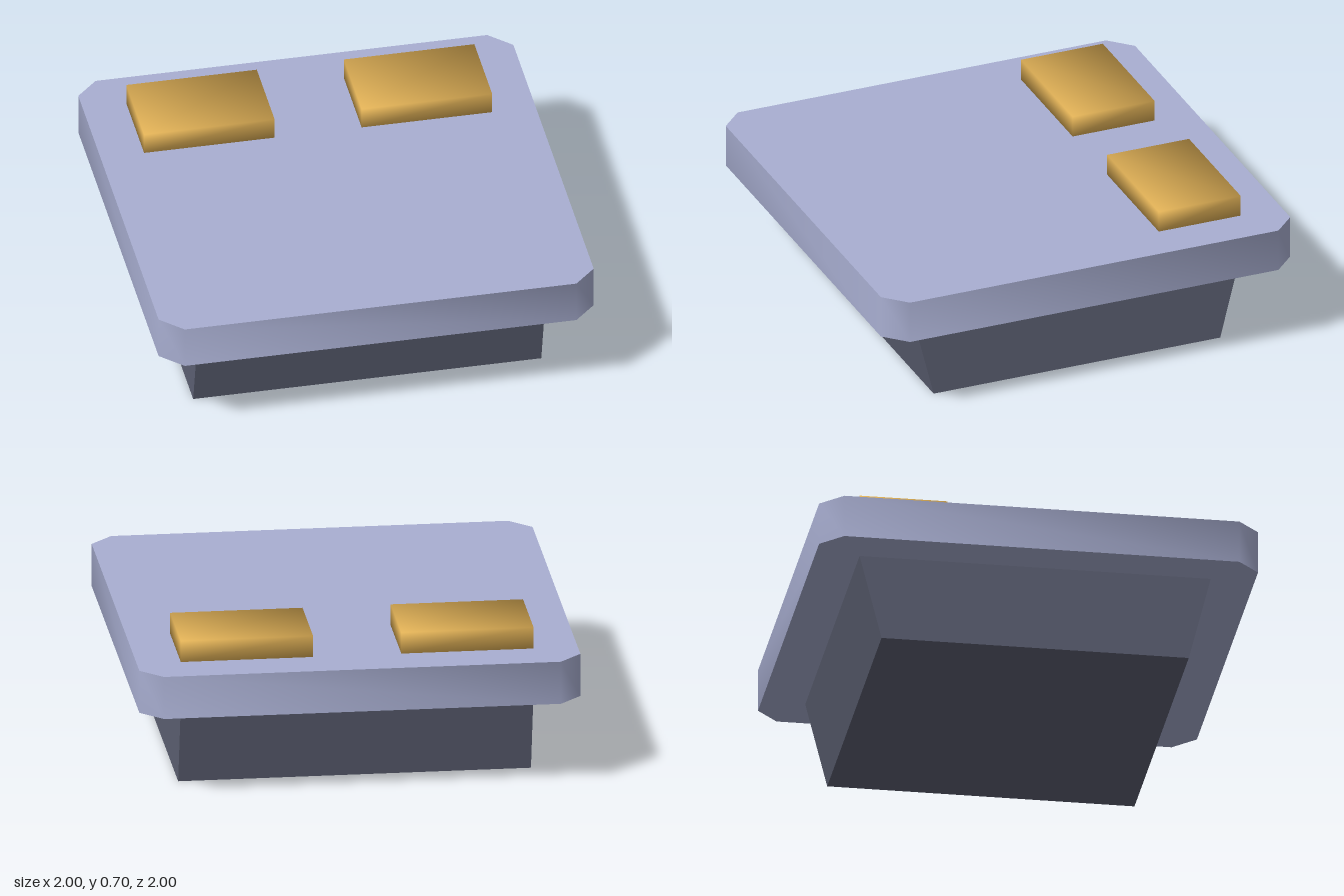
import * as THREE from 'three';
import { toCreasedNormals } from 'three/addons/utils/BufferGeometryUtils.js';

export function createModel() {
  const model = new THREE.Group();
  const slabBlue = new THREE.MeshStandardMaterial({ name: 'pale blue', color: 0xa9afd2 });
  const baseGrey = new THREE.MeshStandardMaterial({ name: 'slate grey', color: 0x5f6376 });
  const gold = new THREE.MeshStandardMaterial({ name: 'gold', color: 0xe2b257 });

  const add = (name, geometry, material, x, y, z) => {
    const mesh = new THREE.Mesh(geometry, material);
    mesh.name = name;
    mesh.position.set(x, y, z);
    model.add(mesh);
  };

  // Base block: front and back faces lean inward towards the floor
  const base = new THREE.BoxGeometry(1.6, 0.4, 1.6);
  const bp = base.attributes.position;
  for (let i = 0; i < bp.count; i++) {
    if (bp.getY(i) < 0) bp.setZ(i, Math.sign(bp.getZ(i)) * 0.7);
  }
  base.computeVertexNormals();
  add('base', base, baseGrey, 0, 0.2, 0);

  // Slab: square with cut corners, shaded softly around the rim
  const outline = new THREE.Shape([
    [-0.9, -1], [0.9, -1], [1, -0.9], [1, 0.9],
    [0.9, 1], [-0.9, 1], [-1, 0.9], [-1, -0.9],
  ].map(([x, y]) => new THREE.Vector2(x, y)));
  const extruded = new THREE.ExtrudeGeometry(outline, { depth: 0.2, bevelEnabled: false });
  extruded.rotateX(-Math.PI / 2);
  add('slab', toCreasedNormals(extruded, Math.PI / 3), slabBlue, 0, 0.4, 0);

  // Raised pads near the back edge, with normals shared at every corner
  const pad = new THREE.BoxGeometry(0.6, 0.1, 0.4);
  const pp = pad.attributes.position;
  const n = new THREE.Vector3();
  for (let i = 0; i < pp.count; i++) {
    n.fromBufferAttribute(pp, i);
    n.set(Math.sign(n.x), Math.sign(n.y), Math.sign(n.z)).normalize();
    pad.attributes.normal.setXYZ(i, n.x, n.y, n.z);
  }
  for (const [name, side] of [['leftPad', 1], ['rightPad', -1]]) {
    add(name, pad, gold, side * 0.5, 0.65, -0.6);
  }

  return model;
}
